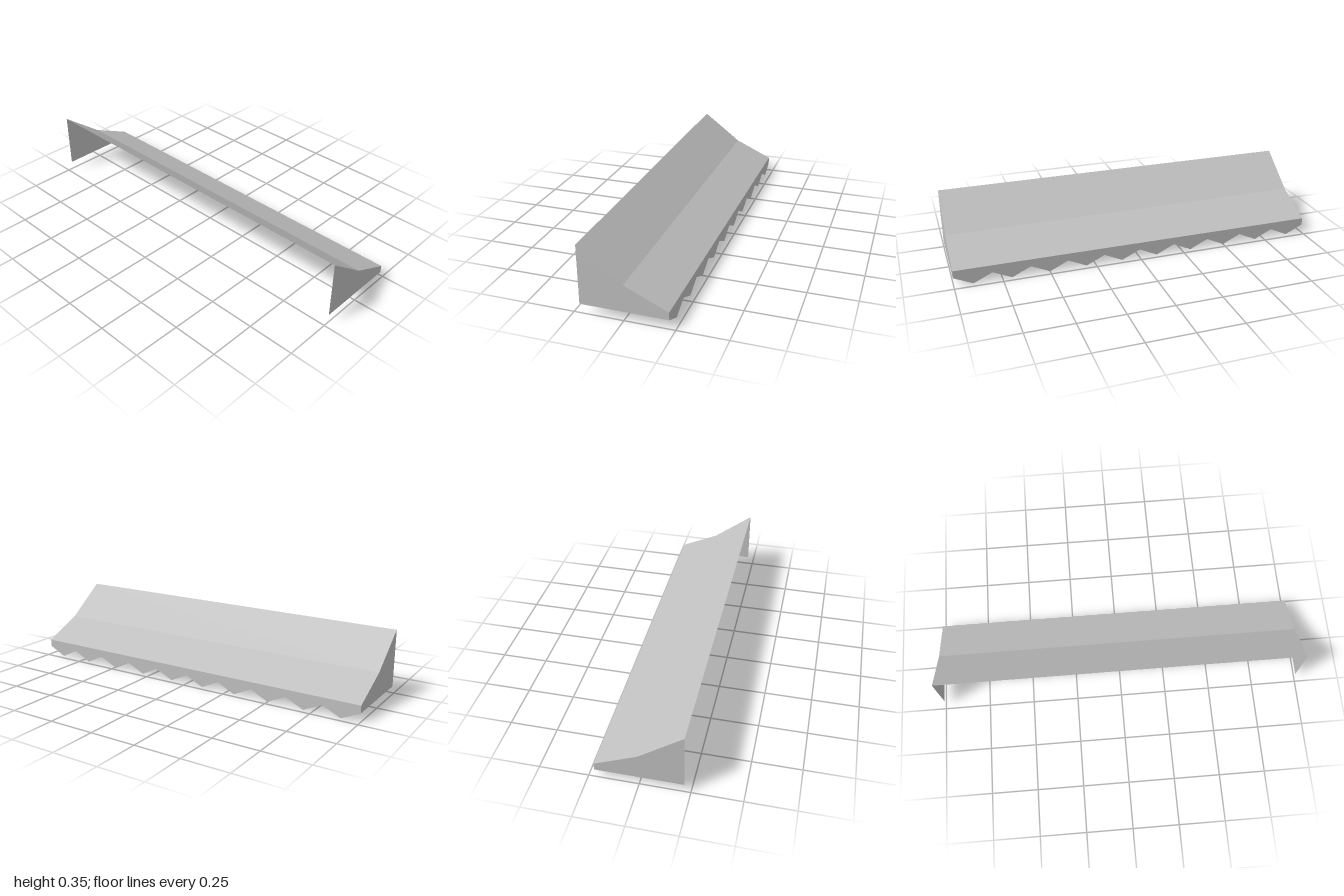
import * as THREE from 'three';

// Awning cross-section, from the high wall edge to the front eave
const PROFILE = [[-0.22, 0.354], [0.002, 0.187], [0.22, 0.087]];
const HEM = 0.047;
const HALF = 1;
const TEETH = 10;

export function createModel() {
  const group = new THREE.Group();
  const canvas = new THREE.MeshStandardMaterial({
    color: 0xc0c0c0, side: THREE.DoubleSide, flatShading: true,
  });
  canvas.name = 'grey canvas';

  const add = (name, geometry) => {
    const mesh = new THREE.Mesh(geometry, canvas);
    mesh.name = name;
    group.add(mesh);
    return mesh;
  };
  const polygon = (points) =>
    new THREE.ShapeGeometry(new THREE.Shape(points.map(([x, y]) => new THREE.Vector2(x, y))));

  // Sloping roof sheet: a plane folded along the profile
  const roof = new THREE.PlaneGeometry(2, 2 * HALF, PROFILE.length - 1, 1).rotateX(-Math.PI / 2);
  const pos = roof.attributes.position;
  for (let i = 0; i < pos.count; i++) {
    const [x, y] = PROFILE[Math.round(pos.getX(i) + 1)];
    pos.setXYZ(i, x, y, pos.getZ(i));
  }
  const flatRoof = roof.toNonIndexed();
  flatRoof.computeVertexNormals();
  add('roofSheet', flatRoof);

  // Thin end panels
  const outline = [[-0.22, HEM], [0.22, HEM], ...[...PROFILE].reverse()];
  add('frontEndPanel', polygon(outline)).position.z = HALF;
  const back = polygon(outline.map(([x, y]) => [-x, y])).rotateY(Math.PI);
  add('backEndPanel', back).position.z = -HALF;

  // Zigzag valance hanging from the eave
  const eave = PROFILE[2];
  const zigzag = [[HALF, eave[1]], [-HALF, eave[1]]];
  for (let i = 0; i <= 2 * TEETH; i++) {
    zigzag.push([-HALF + (i * HALF) / TEETH, i % 2 ? 0 : HEM]);
  }
  add('valance', polygon(zigzag).rotateY(Math.PI / 2)).position.x = eave[0];

  return group;
}
